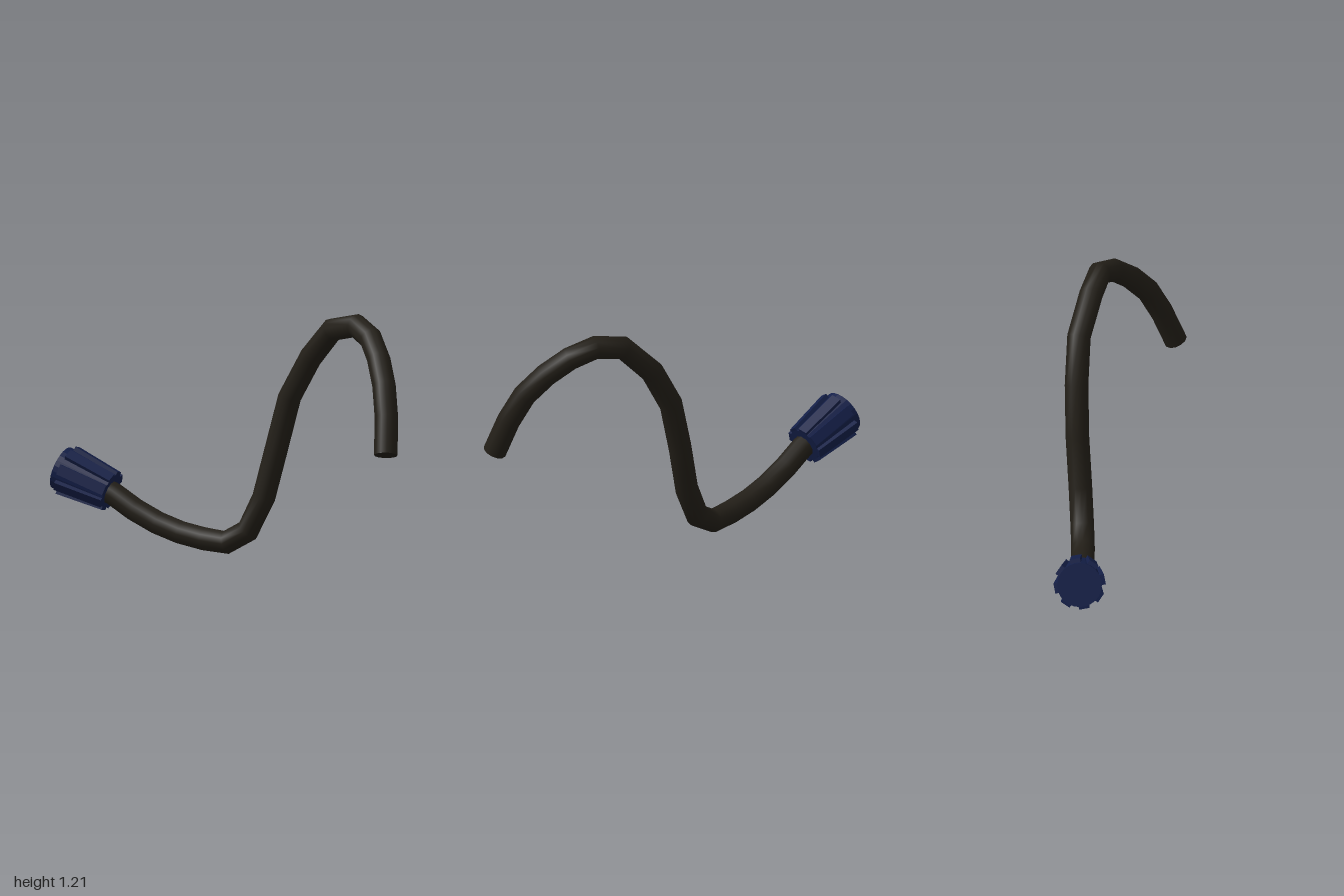
import * as THREE from 'three';

const HOSE_RADIUS = 0.056;
const rubber = new THREE.MeshStandardMaterial({ color: 0x221e17 });
const plastic = new THREE.MeshStandardMaterial({ color: 0x141f48, flatShading: true });

function addMesh(parent, name, geometry, material) {
  const mesh = new THREE.Mesh(geometry, material);
  mesh.name = name;
  parent.add(mesh);
  return mesh;
}

// Bent hose: one ring per path point, so the bends stay faceted
function createHose() {
  const hose = new THREE.Group();
  hose.name = 'hose';
  const points = [
    [-0.78, 0.293, -0.175], [-0.69, 0.255, -0.175], [-0.58, 0.188, -0.175], [-0.46, 0.132, -0.175],
    [-0.34, 0.094, -0.175], [-0.22, 0.072, -0.175], [-0.1, 0.062, -0.175],
    [0.01, 0.125, -0.18], [0.09, 0.29, -0.19], [0.15, 0.53, -0.205], [0.215, 0.775, -0.21],
    [0.33, 0.975, -0.2], [0.47, 1.125, -0.145], [0.615, 1.16, -0.105], [0.72, 1.115, -0.04],
    [0.8, 1.03, 0.04], [0.865, 0.92, 0.12], [0.908, 0.78, 0.185], [0.935, 0.61, 0.25],
  ].map((p) => new THREE.Vector3(...p));
  const curve = new THREE.CatmullRomCurve3(points);
  curve.getPointAt = (t, target) => curve.getPoint(t, target);
  curve.getTangentAt = (t, target) => curve.getTangent(t, target);
  addMesh(hose, 'hoseTube', new THREE.TubeGeometry(curve, points.length - 1, HOSE_RADIUS, 12), rubber);

  // Closed free end
  const cap = addMesh(hose, 'hoseEnd', new THREE.CircleGeometry(HOSE_RADIUS, 12), rubber);
  cap.position.copy(points[points.length - 1]);
  cap.quaternion.setFromUnitVectors(new THREE.Vector3(0, 0, 1), curve.getTangent(1));
  return hose;
}

// Tapered knob with eight raised grip ribs, its axis along local y
function createKnob() {
  const knob = new THREE.Group();
  knob.name = 'knob';
  const near = new THREE.Vector3(-0.705, 0.267, -0.18);
  const far = new THREE.Vector3(-0.965, 0.362, -0.18);
  const axis = far.clone().sub(near);
  const length = axis.length();

  const core = addMesh(knob, 'knobCore', new THREE.CylinderGeometry(0.106, 0.086, length, 24), plastic);
  core.position.y = length / 2;

  const ribLength = length - 0.03;
  for (let i = 0; i < 8; i++) {
    const pivot = new THREE.Group();
    pivot.name = 'gripRib';
    pivot.rotation.y = THREE.MathUtils.degToRad(11 + 45 * i);
    const rib = addMesh(pivot, 'ribBlock', new THREE.BoxGeometry(0.04, ribLength, 0.05), plastic);
    rib.position.set(0.09, ribLength / 2, 0);
    rib.rotation.z = -0.098;
    knob.add(pivot);
  }

  knob.position.copy(near);
  knob.quaternion.setFromUnitVectors(new THREE.Vector3(0, 1, 0), axis.normalize());
  return knob;
}

export function createModel() {
  const model = new THREE.Group();
  model.name = 'hoseWithKnob';
  model.add(createHose(), createKnob());
  return model;
}
